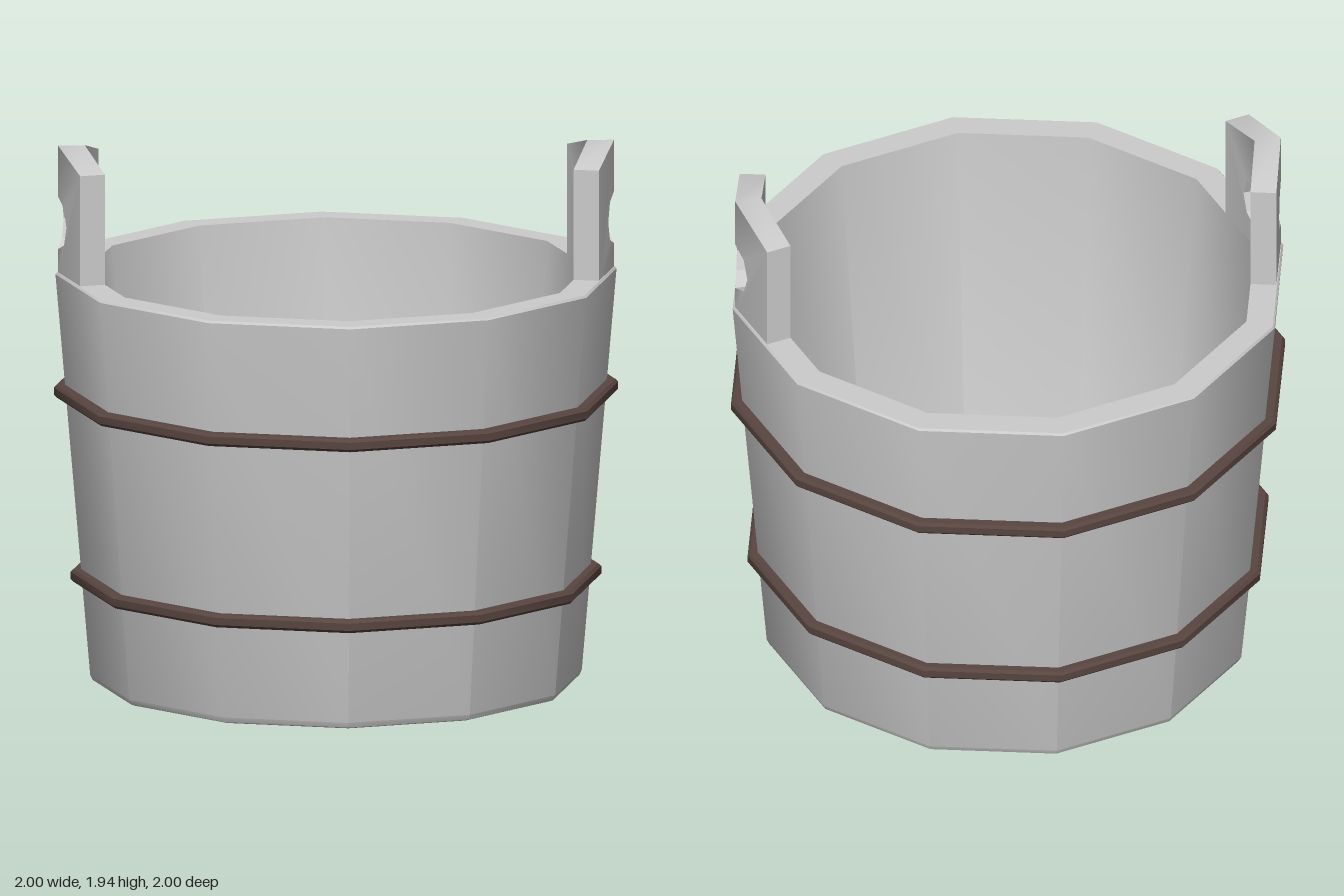
import * as THREE from 'three';
import { toCreasedNormals } from 'three/addons/utils/BufferGeometryUtils.js';

const SIDES = 12, CREASE = 0.6;
const wood = new THREE.MeshStandardMaterial({ color: 0xcccccc });
const iron = new THREE.MeshStandardMaterial({ color: 0x584540 });

function lathe(name, profile, material) {
  const points = profile.map(([r, y]) => new THREE.Vector2(r, y));
  const mesh = new THREE.Mesh(toCreasedNormals(new THREE.LatheGeometry(points, SIDES), CREASE), material);
  mesh.name = name;
  return mesh;
}

// Half of a lug, drawn flat (x = 0 at the bend, x = side at the edge, z = 0 inside, z = 1 outside),
// then wrapped onto one half-facet of the twelve-sided rim.
function lugHalf(side) {
  const inner = 0.89, outer = 0.985, base = 1.465, holeY = 1.66, holeR = 0.095;
  const shape = new THREE.Shape();
  shape.moveTo(0, base);
  shape.lineTo(side, base);
  shape.lineTo(side, 1.88);
  shape.lineTo(0, 1.94);
  for (let i = 0; i <= 4; i++) {
    const a = (i * Math.PI) / 4;
    const x = i % 4 ? (Math.sin(a) * holeR) / 0.25 : 0;
    shape.lineTo(side * x, holeY + Math.cos(a) * holeR);
  }
  const flat = new THREE.ExtrudeGeometry(shape, { depth: 1, bevelEnabled: false }).toNonIndexed();
  const pos = flat.attributes.position, out = [];
  const bend = Math.PI / 6, half = Math.PI / 12;
  for (let i = 0; i < pos.count; i += 3) {
    // leave out the hidden seam between the halves
    if ([0, 1, 2].every((k) => Math.abs(pos.getX(i + k)) < 1e-5)) continue;
    for (let k = 0; k < 3; k++) {
      const t = Math.abs(pos.getX(i + k));
      const r = pos.getZ(i + k) > 0.5 ? outer : inner;
      const edge = r * Math.cos(half), a = bend - side * half;
      out.push(
        THREE.MathUtils.lerp(r * Math.cos(bend), edge * Math.cos(a), t),
        pos.getY(i + k),
        THREE.MathUtils.lerp(r * Math.sin(bend), edge * Math.sin(a), t)
      );
    }
  }
  return out;
}

function lug(name, turn) {
  const geometry = new THREE.BufferGeometry();
  const positions = [...lugHalf(1), ...lugHalf(-1)];
  geometry.setAttribute('position', new THREE.Float32BufferAttribute(positions, 3));
  const mesh = new THREE.Mesh(toCreasedNormals(geometry, CREASE), wood);
  mesh.name = name;
  mesh.rotation.y = turn;
  return mesh;
}

// Iron band with rounded edges, sunk slightly into the wall
function band(name, y, r) {
  return lathe(name, [
    [r - 0.05, y - 0.023], [r - 0.01, y - 0.023], [r, y - 0.013],
    [r, y + 0.013], [r - 0.01, y + 0.023], [r - 0.05, y + 0.023],
  ], iron);
}

export function createModel() {
  const bucket = new THREE.Group();
  bucket.name = 'bucket';

  // Tapered body: underside, outer wall, rim, inner wall, floor
  bucket.add(lathe('body', [
    [0, 0], [0.845, 0], [0.862, 0.006], [0.871, 0.025],
    [0.994, 1.474], [0.988, 1.482], [0.89, 1.482],
    [0.775, 0.16], [0.76, 0.13], [0.735, 0.112], [0.7, 0.105], [0, 0.105],
  ], wood));

  bucket.add(band('lowerBand', 0.385, 0.94), band('upperBand', 1.052, 1.0));

  // Pierced handle lugs on opposite corners of the rim
  bucket.add(lug('frontLug', 0), lug('backLug', Math.PI));
  return bucket;
}
